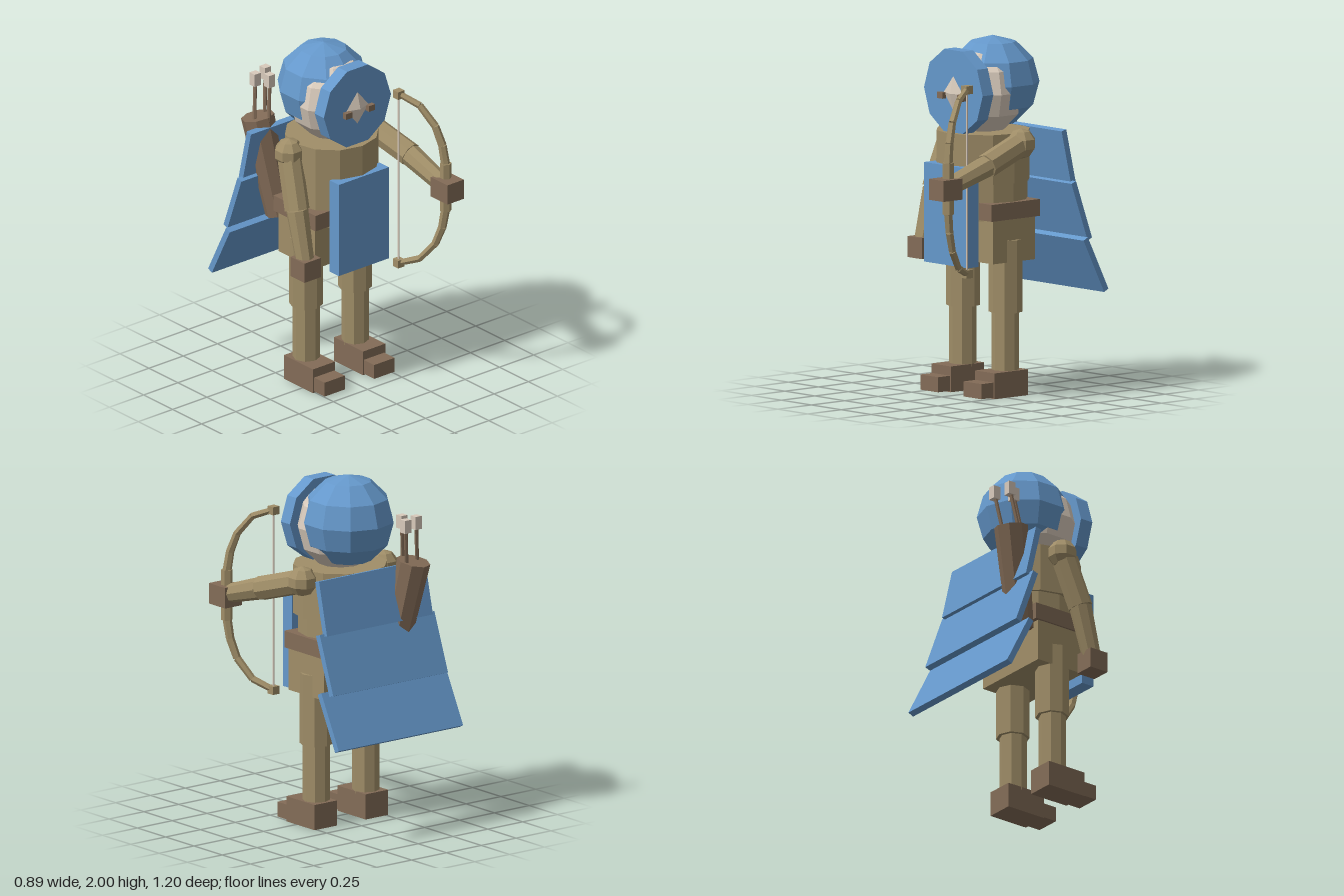
import * as THREE from 'three';

const mat = (name, color) => {
  const m = new THREE.MeshStandardMaterial({ color, flatShading: true });
  m.name = name;
  return m;
};

export function createModel() {
  const group = new THREE.Group();
  const blue = mat('blue cloth', 0x6598cb);
  const olive = mat('olive', 0xa08e68);
  const brown = mat('brown leather', 0x836c57);
  const skin = mat('pale skin', 0xd8cabb);

  const add = (name, geometry, material, x = 0, y = 0, z = 0) => {
    const mesh = new THREE.Mesh(geometry, material);
    mesh.name = name;
    mesh.position.set(x, y, z);
    group.add(mesh);
    return mesh;
  };
  const box = (name, m, w, h, d, x, y, z) =>
    add(name, new THREE.BoxGeometry(w, h, d), m, x, y, z);
  const drum = (name, m, rTop, rBottom, h, sides, x, y, z) =>
    add(name, new THREE.CylinderGeometry(rTop, rBottom, h, sides), m, x, y, z);
  // tapered rod from point a to point b
  const rod = (name, m, a, b, ra, rb, sides = 6) => {
    const p = new THREE.Vector3(...a), q = new THREE.Vector3(...b);
    const dir = q.clone().sub(p);
    const mesh = add(name, new THREE.CylinderGeometry(rb, ra, dir.length(), sides), m);
    mesh.position.copy(p).add(q).multiplyScalar(0.5);
    mesh.quaternion.setFromUnitVectors(new THREE.Vector3(0, 1, 0), dir.normalize());
    return mesh;
  };
  const ball = (name, m, r, w, h, x, y, z) =>
    add(name, new THREE.SphereGeometry(r, w, h).rotateY(Math.PI / w), m, x, y, z);

  // head, hood, face disc and eyes
  ball('head', skin, 0.25, 10, 6, 0, 1.7, -0.062);
  ball('hood', blue, 0.262, 10, 6, 0, 1.74, -0.132);
  add('faceDisc', new THREE.CylinderGeometry(0.245, 0.245, 0.08, 10)
    .rotateY(Math.PI / 10).rotateX(Math.PI / 2), blue, 0, 1.71, 0.122);
  for (const s of [1, -1]) box('eye', brown, 0.045, 0.035, 0.04, s * 0.083, 1.683, 0.17);

  // trunk
  drum('chest', olive, 0.265, 0.265, 0.28, 12, 0, 1.34, -0.06);
  drum('waist', olive, 0.245, 0.245, 0.22, 12, 0, 1.1, -0.07);
  box('belt', brown, 0.525, 0.095, 0.36, 0, 1.047, -0.07);
  box('hips', olive, 0.5, 0.25, 0.315, 0, 0.882, -0.068);
  box('frontPanel', blue, 0.365, 0.56, 0.08, 0, 1.02, 0.178);

  // legs and boots
  for (const s of [1, -1]) {
    const x = s * 0.178;
    drum('thigh', olive, 0.095, 0.095, 0.41, 8, x, 0.675, -0.07);
    drum('shin', olive, 0.077, 0.077, 0.36, 8, x, 0.31, -0.068);
    box('boot', brown, 0.162, 0.145, 0.25, x + s * 0.005, 0.0725, -0.035);
    box('toe', brown, 0.148, 0.085, 0.13, x + s * 0.003, 0.05, 0.115);
  }

  // arms: the left reaches forward, the right hangs
  const arms = [
    { side: 'left', shoulder: [0.29, 1.425, -0.085], elbow: [0.338, 1.33, 0.22],
      wrist: [0.345, 1.24, 0.51], hand: [0.346, 1.233, 0.528] },
    { side: 'right', shoulder: [-0.29, 1.425, -0.085], elbow: [-0.32, 1.12, 0.02],
      wrist: [-0.325, 0.83, 0.095], hand: [-0.325, 0.797, 0.1] },
  ];
  for (const { side, shoulder, elbow, wrist, hand } of arms) {
    ball(side + 'Shoulder', olive, 0.086, 8, 5, ...shoulder);
    rod(side + 'UpperArm', olive, shoulder, elbow, 0.07, 0.07, 8);
    rod(side + 'Forearm', olive, elbow, wrist, 0.064, 0.053, 8);
    const fist = box(side + 'Hand', brown, 0.12, 0.118, 0.12, ...hand);
    if (side === 'left') fist.scale.z = 1.2;
  }

  // layered cape plates: width, height, centre y, centre z, tilt
  for (const [w, h, y, z, tilt] of [
    [0.76, 0.31, 1.335, -0.36, 0.23],
    [0.823, 0.35, 1.027, -0.43, 0.35],
    [0.893, 0.34, 0.72, -0.505, 0.47],
  ]) box('capePlate', blue, w, h, 0.036, 0, y, z).rotation.x = tilt;

  // quiver with arrows
  rod('quiver', brown, [-0.185, 0.945, -0.3], [-0.243, 1.52, -0.412], 0.075, 0.095, 8);
  for (const [x, z] of [[-0.25, -0.425], [-0.15, -0.455], [-0.2, -0.36]]) {
    rod('arrowShaft', brown, [x - 0.04, 1.46, z + 0.04], [x, 1.74, z], 0.011, 0.011);
    box('fletching', skin, 0.045, 0.075, 0.045, x, 1.745, z);
  }

  // bow: limbs curve from the grip to the tips, u = forward reach, v = height offset
  const bowPoint = (u, v) => [0.22 + 0.128 * u, 1.235 + v, 0.257 + 0.255 * u];
  const limb = [[1, 0.13], [0.93, 0.25], [0.78, 0.36], [0.45, 0.47], [0, 0.52]];
  rod('bowGrip', olive, bowPoint(1, -0.145), bowPoint(1, 0.145), 0.033, 0.033);
  for (const s of [1, -1]) {
    for (let i = 0; i < 4; i++) {
      const [u0, v0] = limb[i], [u1, v1] = limb[i + 1];
      rod('bowLimb', olive, bowPoint(u0, s * v0), bowPoint(u1, s * v1),
        0.026 - 0.002 * i, 0.024 - 0.002 * i);
    }
    box('bowTip', olive, 0.046, 0.046, 0.046, ...bowPoint(0, s * 0.518));
  }
  rod('bowString', skin, bowPoint(0, -0.51), bowPoint(0, 0.51), 0.005, 0.005);

  return group;
}
